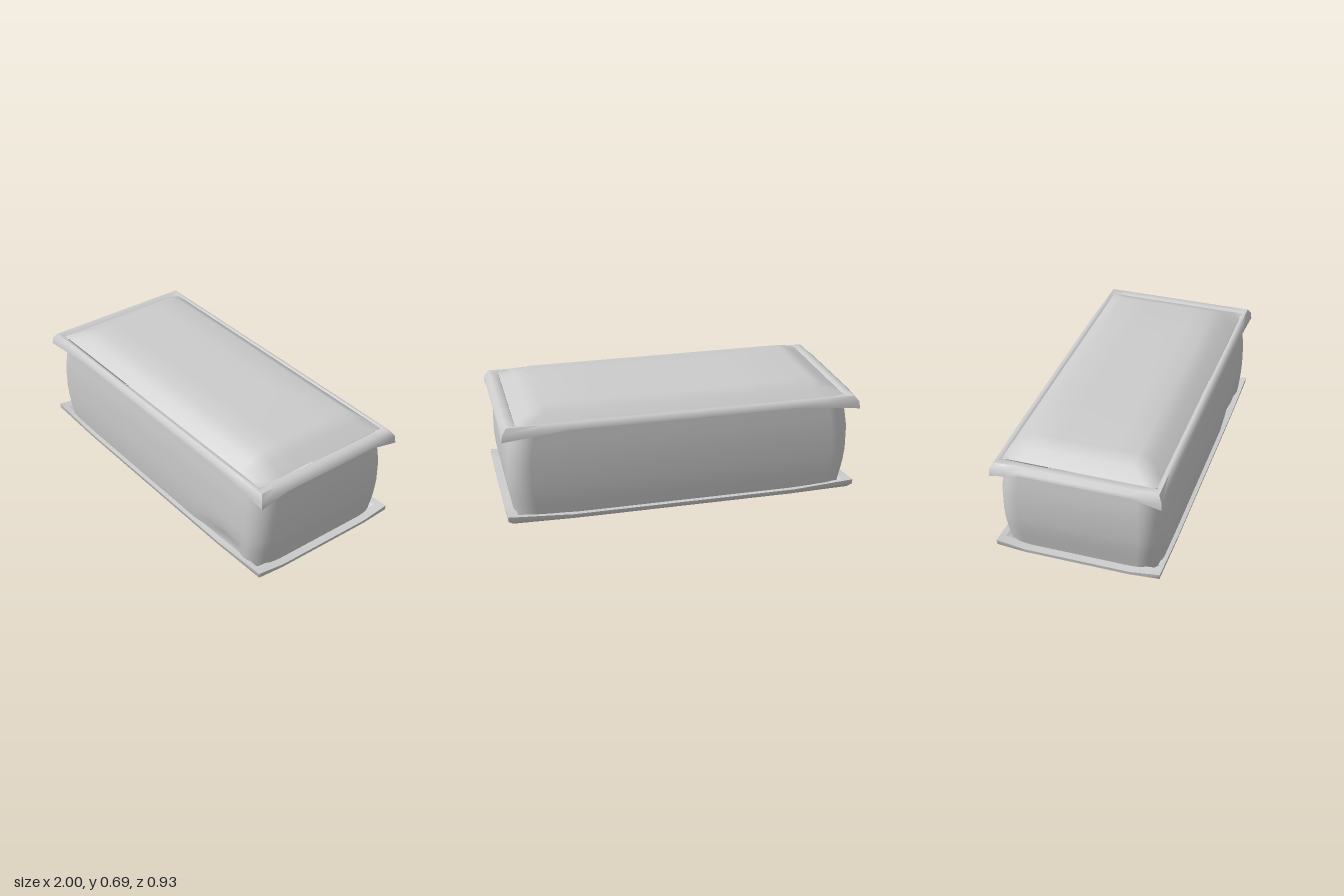
import * as THREE from 'three';
import { toCreasedNormals } from 'three/addons/utils/BufferGeometryUtils.js';

const material = new THREE.MeshStandardMaterial({ color: 0xcccccc, side: THREE.DoubleSide });

// Joins closed loops of points, ordered from bottom to top, into a skin.
function loft(loops) {
  const n = loops[0].length;
  const index = [];
  for (let i = 0; i < loops.length - 1; i++) {
    for (let j = 0; j < n; j++) {
      const a = i * n + j, b = i * n + (j + 1) % n;
      index.push(a, b, b + n, a, b + n, a + n);
    }
  }
  const geometry = new THREE.BufferGeometry();
  geometry.setAttribute('position', new THREE.Float32BufferAttribute(loops.flat(2), 3));
  geometry.setIndex(index);
  geometry.computeVertexNormals();
  return geometry;
}

// Rectangular loop whose height changes from mid (along sides) to corner.
function rectLoop(hx, hz, mid, corner) {
  const points = [];
  const sides = [[-1, 1, 1, 0], [1, 1, 0, -1], [1, -1, -1, 0], [-1, -1, 0, 1]];
  for (const [sx, sz, dx, dz] of sides) {
    for (const t of [0, 0.09, 0.18, 0.5, 0.82, 0.91]) {
      const drop = Math.max(0, 1 - Math.min(t, 1 - t) / 0.18);
      points.push([
        (sx + 2 * dx * t) * hx,
        mid + (corner - mid) * drop,
        (sz + 2 * dz * t) * hz,
      ]);
    }
  }
  return points;
}

// Rounded rectangle loop for the padded walls.
function roundLoop(hx, hz, radius, y, dent) {
  const points = [];
  const corners = [[-1, 1, Math.PI], [1, 1, Math.PI / 2], [1, -1, 0], [-1, -1, -Math.PI / 2]];
  corners.forEach(([sx, sz, start], k) => {
    for (let i = 0; i <= 6; i++) {
      const a = start - (i / 6) * Math.PI / 2;
      points.push([
        sx * (hx - radius) + Math.cos(a) * radius, y,
        sz * (hz - radius) + Math.sin(a) * radius,
      ]);
    }
    // Extra points along the front, with a shallow crease near its lower left
    if (k === 0) {
      for (const x of [-0.6, -0.2, 0.2, 0.4, 0.55, 0.65, 0.75]) {
        const pull = Math.max(0, 1 - Math.abs(x - 0.65) / 0.25);
        points.push([x, y, hz - dent * pull]);
      }
    }
  });
  return points;
}

// Puffed panel: flat crown with sloping, softly shaded borders.
function panel(edgeY, crownY) {
  const xs = [-0.92, -0.84, -0.76, -0.4, 0, 0.4, 0.76, 0.84, 0.92];
  const zs = [-0.42, -0.37, -0.315, -0.15, 0, 0.15, 0.275, 0.35, 0.415];
  const rise = [0, 0.53, 0.96, 1, 1, 1, 0.96, 0.53, 0];
  const up = crownY > edgeY;
  const geometry = new THREE.PlaneGeometry(1, 1, 8, 8);
  geometry.rotateX(up ? -Math.PI / 2 : Math.PI / 2);
  const p = geometry.attributes.position;
  for (let i = 0; i < p.count; i++) {
    const col = i % 9;
    const row = up ? Math.floor(i / 9) : 8 - Math.floor(i / 9);
    const h = Math.min(rise[col], rise[row]);
    p.setXYZ(i, xs[col], edgeY + (crownY - edgeY) * h, zs[row]);
  }
  geometry.computeVertexNormals();
  return geometry;
}

export function createModel() {
  const model = new THREE.Group();
  const add = (name, geometry) => {
    const mesh = new THREE.Mesh(geometry, material);
    mesh.name = name;
    model.add(mesh);
  };

  // Bulging side walls: y, half width, half depth, crease depth
  const walls = [
    [0.07, 0.94, 0.432, 0.02], [0.1, 0.944, 0.436, 0.03], [0.15, 0.953, 0.442, 0.012],
    [0.21, 0.963, 0.447, 0], [0.28, 0.97, 0.45, 0], [0.41, 0.97, 0.45, 0],
    [0.5, 0.957, 0.444, 0], [0.6, 0.94, 0.435, 0],
  ];
  add('sideWalls', loft(walls.map(([y, hx, hz, dent]) => roundLoop(hx, hz, 0.12, y, dent))));

  // Top and bottom padding
  add('topPanel', panel(0.618, 0.695));
  add('bottomPanel', panel(0.05, 0));

  // Welts around the seams, with corners that flare away from the padding
  const topWelt = loft([
    rectLoop(0.93, 0.425, 0.595, 0.59),
    rectLoop(1, 0.463, 0.587, 0.55),
    rectLoop(0.993, 0.46, 0.605, 0.592),
    rectLoop(0.97, 0.442, 0.622, 0.622),
    rectLoop(0.94, 0.428, 0.623, 0.622),
    rectLoop(0.92, 0.417, 0.612, 0.615),
  ]);
  add('topWelt', toCreasedNormals(topWelt, 0.9));

  const bottomWelt = loft([
    rectLoop(0.92, 0.417, 0.05, 0.05),
    rectLoop(0.96, 0.44, 0.053, 0.06),
    rectLoop(0.985, 0.455, 0.066, 0.08),
    rectLoop(0.987, 0.457, 0.085, 0.108),
    rectLoop(0.93, 0.425, 0.088, 0.1),
  ]);
  add('bottomWelt', toCreasedNormals(bottomWelt, 0.9));

  return model;
}
